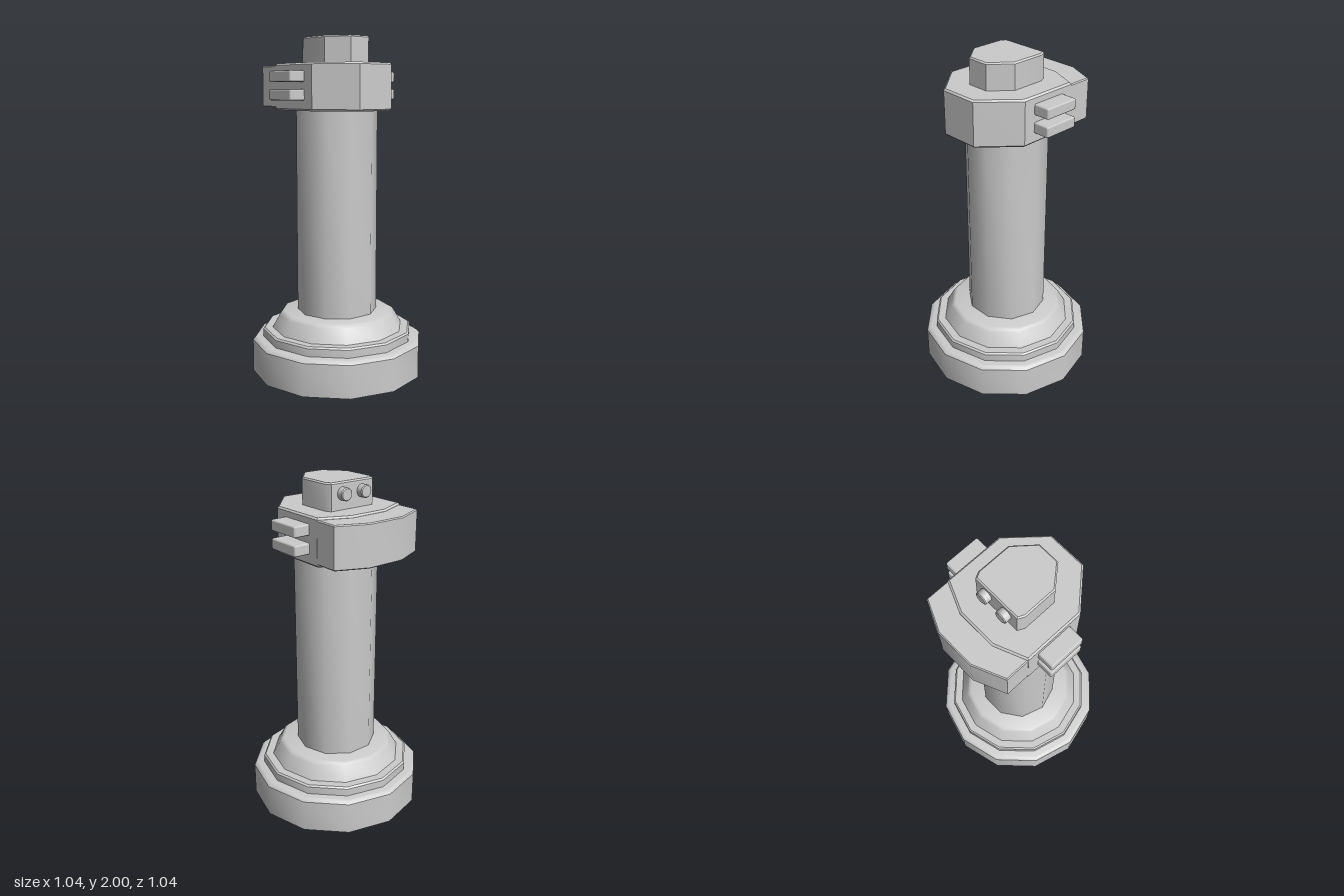
import * as THREE from 'three';
import { toCreasedNormals } from 'three/addons/utils/BufferGeometryUtils.js';
import { RoundedBoxGeometry } from 'three/addons/geometries/RoundedBoxGeometry.js';

const CREASE = 0.66;

export function createModel() {
  const model = new THREE.Group();
  model.name = 'pedestal';
  const material = new THREE.MeshStandardMaterial({ color: 0xcccccc });

  function add(name, geometry, x = 0, y = 0, z = 0) {
    const mesh = new THREE.Mesh(geometry, material);
    mesh.name = name;
    mesh.position.set(x, y, z);
    model.add(mesh);
    return mesh;
  }

  // Faceted turned part from [radius, height] pairs, bottom to top
  function turned(profile, sides) {
    const points = profile.map(([r, y]) => new THREE.Vector2(r, y));
    return toCreasedNormals(new THREE.LatheGeometry(points, sides), CREASE);
  }

  // Bevelled slab; outline holds one half [x, z], mirrored across z = 0
  function slab(half, y0, y1, bevel) {
    const mirrored = half.map(([x, z]) => [x, -z]).reverse();
    const outline = [...half, ...mirrored].map(([x, z]) => new THREE.Vector2(x, z));
    const geometry = new THREE.ExtrudeGeometry(new THREE.Shape(outline), {
      depth: y1 - y0 - 2 * bevel,
      bevelThickness: bevel, bevelSize: bevel, bevelOffset: -bevel, bevelSegments: 1,
    });
    geometry.rotateX(-Math.PI / 2).translate(0, y0 + bevel, 0);
    return toCreasedNormals(geometry, CREASE);
  }

  // Stepped twelve-sided foot
  add('base', turned([[0, 0], [0.518, 0], [0.518, 0.195], [0.505, 0.21], [0.49, 0.214], [0, 0.214]], 12));
  add('baseRing', turned([[0, 0.2], [0.455, 0.2], [0.455, 0.26], [0.445, 0.27], [0, 0.27]], 12));
  add('baseCollar', turned([[0, 0.26], [0.4, 0.265], [0.352, 0.352], [0.342, 0.365], [0.325, 0.372], [0, 0.372]], 12));

  // Ten-sided shaft
  add('column', turned([[0, 0.36], [0.24, 0.36], [0.24, 1.6], [0, 1.6]], 10), -0.004);

  // Head with the lower block behind it
  add('head', slab([[0.345, 0.115], [0.145, 0.293], [-0.21, 0.293], [-0.285, 0.115]], 1.58, 1.848, 0.01));
  add('rearBlock', slab([[-0.15, 0.292], [-0.35, 0.292], [-0.428, 0.115]], 1.595, 1.837, 0.006));

  // Cap on top
  add('cap', slab([[0.205, 0.065], [0.09, 0.163], [-0.108, 0.163], [-0.145, 0.145]], 1.83, 2, 0.008));

  // Pairs of bars on both sides of the head, and round studs on the cap
  for (const side of [1, -1]) {
    for (const y of [1.67, 1.773]) {
      add('sideBar', new RoundedBoxGeometry(0.217, 0.063, 0.14, 1, 0.01), -0.034, y, side * 0.319);
    }
    const stud = turned([[0, 0], [0.037, 0], [0.037, 0.055], [0.032, 0.06], [0, 0.06]], 12);
    add('capStud', stud, -0.125, 1.936, side * 0.068).rotation.z = Math.PI / 2;
  }

  return model;
}
